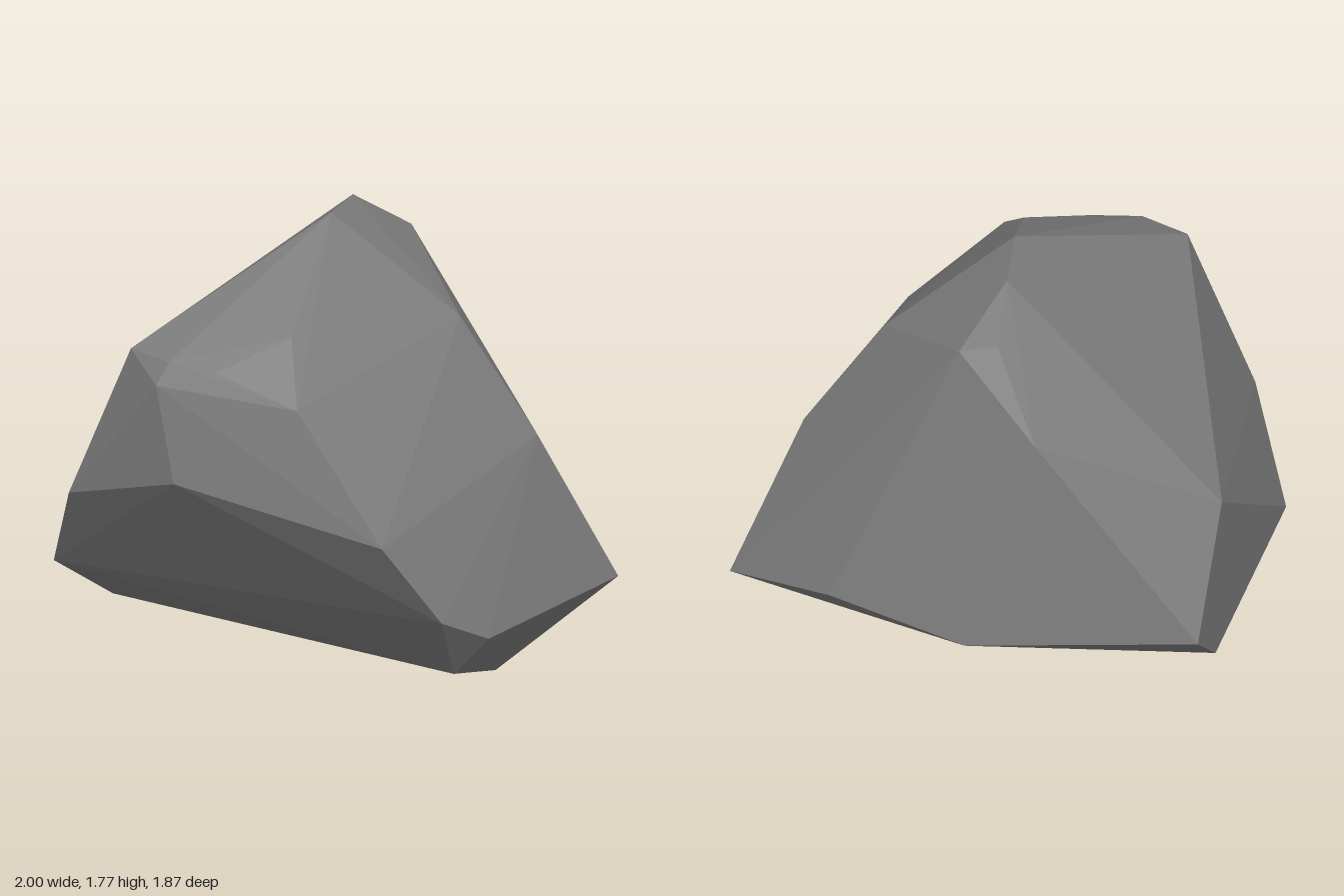
import * as THREE from 'three';
import { ConvexGeometry } from 'three/addons/geometries/ConvexGeometry.js';

export function createModel() {
  const group = new THREE.Group();
  group.name = 'boulder';

  const stone = new THREE.MeshStandardMaterial({ color: 0x7c7c7c });
  stone.name = 'grey stone';

  // Corners of the faceted rock, [x, y, z]
  const corners = [
    // crest
    [-0.02, 1.77, -0.02], [-0.08, 1.75, -0.29], [-0.12, 1.60, -0.53], [0.03, 1.56, -0.56],
    // left shoulder
    [0.46, 1.36, -0.21], [0.77, 0.89, -0.29], [1.0, 0.26, -0.53],
    // back
    [0.50, 0.42, -0.78], [-0.12, 0.42, -0.94], [-0.35, 1.31, -0.75], [-1.0, 0.43, -0.65],
    // right side
    [-1.0, 0.92, -0.35], [-0.99, 0.22, -0.40], [-0.97, 0.30, 0.54],
    // upper front
    [-0.48, 1.36, 0.77], [-0.27, 1.36, 0.83], [-0.30, 1.27, 0.88], [-0.07, 1.34, 0.80],
    [0.29, 1.24, 0.78], [0.13, 1.45, 0.55],
    // front ridge
    [-0.76, 0.70, 0.78], [-0.19, 0.89, 0.93], [0.71, 0.75, 0.83], [0.88, 0.41, 0.65],
    // underside
    [0.95, 0.28, 0.40], [0.80, 0.11, 0.42], [0.77, 0.0, 0.04], [0.80, 0.10, -0.34],
    [-0.82, 0.12, 0.33],
  ].map((p) => new THREE.Vector3(...p));

  // Flat facets wrapped around the corners
  const rock = new THREE.Mesh(new ConvexGeometry(corners), stone);
  rock.name = 'rock';
  group.add(rock);
  return group;
}
